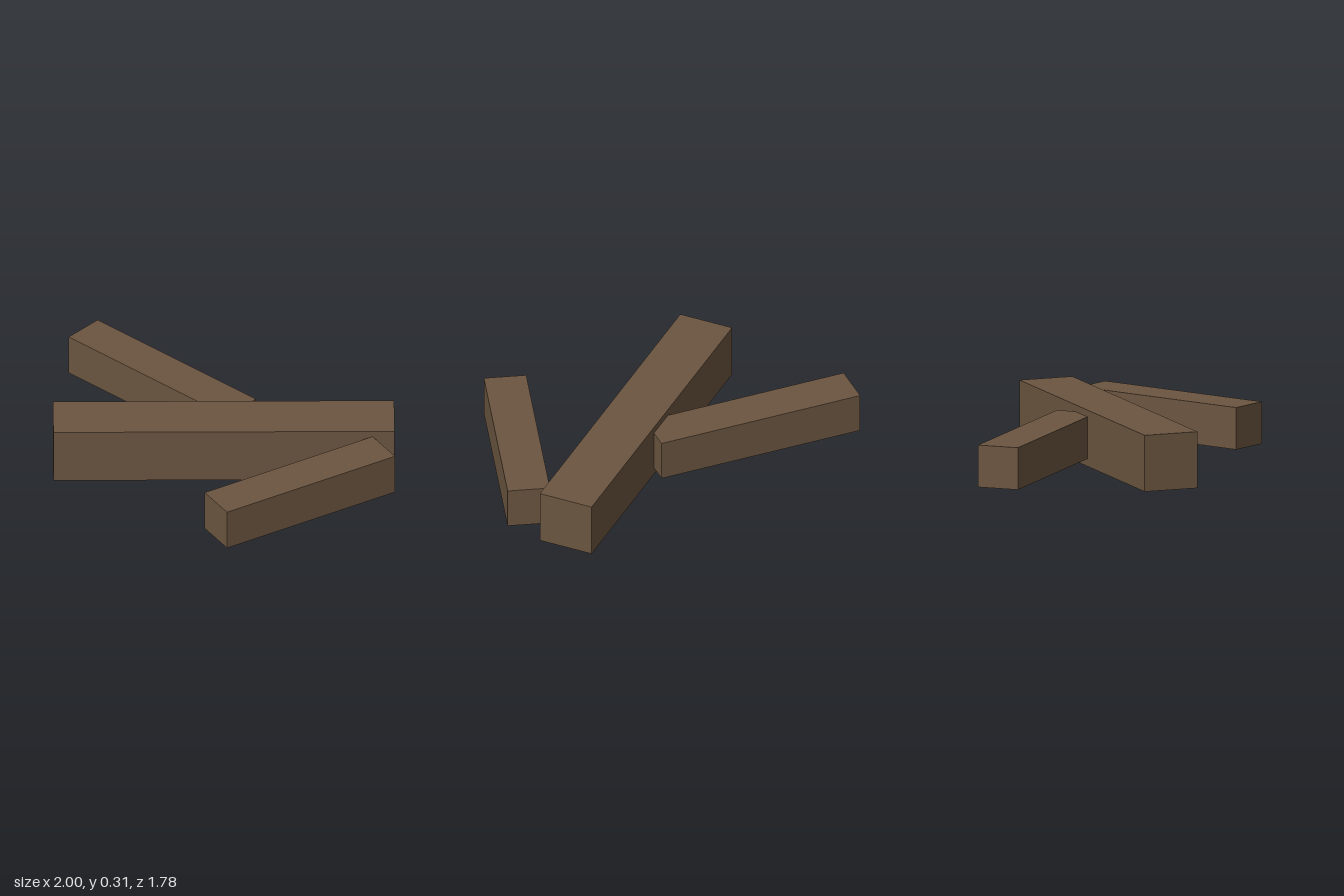
import * as THREE from 'three';

export function createModel() {
  const model = new THREE.Group();
  const wood = new THREE.MeshStandardMaterial({ color: 0x6b5540, flatShading: true });

  // square beam lying flat, turned about the vertical axis
  function beam(name, length, height, width, x, y, z, turn) {
    const mesh = new THREE.Mesh(new THREE.BoxGeometry(length, height, width), wood);
    mesh.name = name;
    mesh.position.set(x, y, z);
    mesh.rotation.y = turn;
    model.add(mesh);
  }

  // thick main log, with a thinner one on each side
  beam('mainLog', 1.878, 0.315, 0.313, 0.005, 0.158, -0.004, 0.2);
  beam('backLog', 1.185, 0.235, 0.235, -0.433, 0.16, -0.48, -0.55);
  beam('frontLog', 1.085, 0.235, 0.235, 0.518, 0.16, 0.434, 0.745);

  return model;
}
